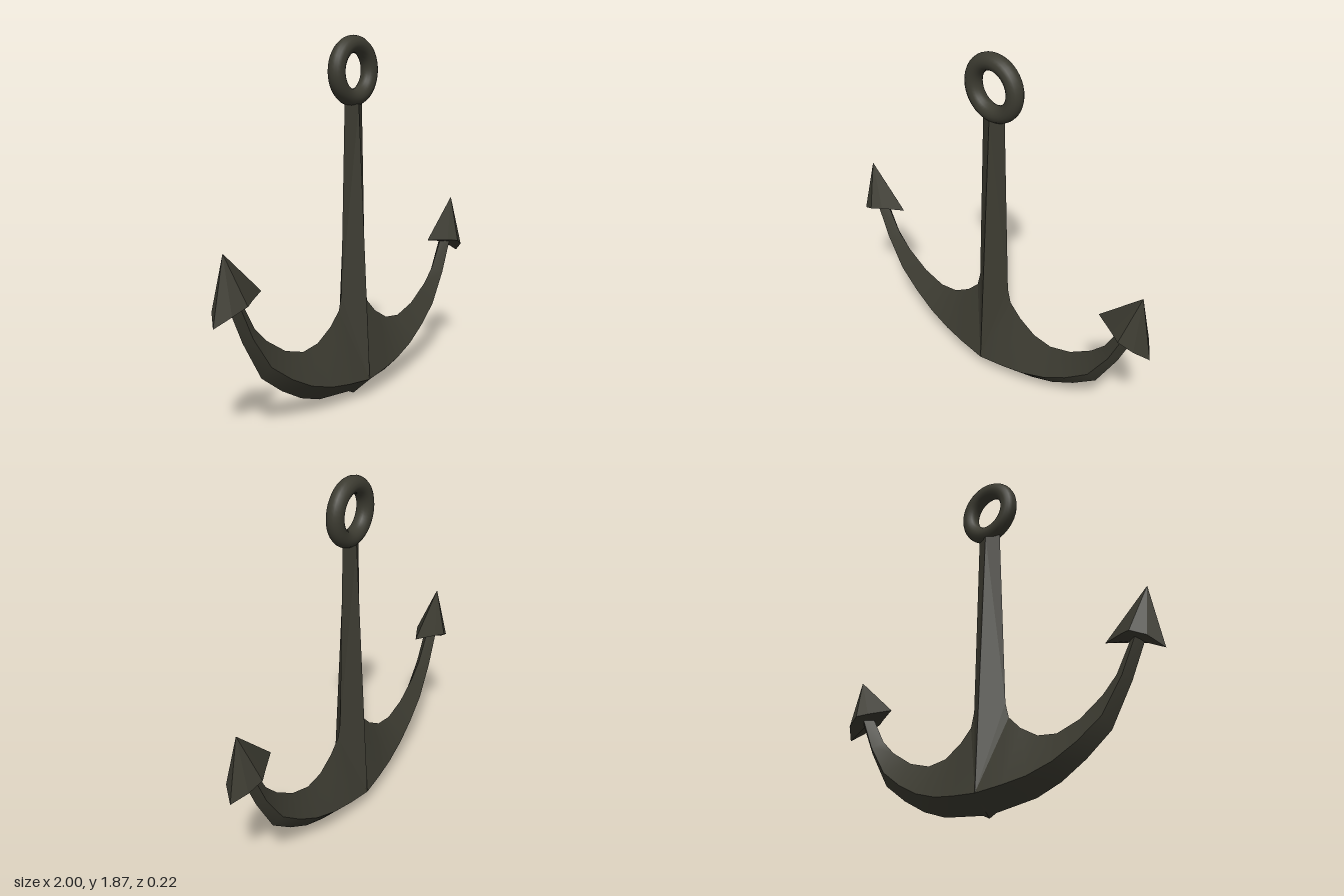
import * as THREE from 'three';

const iron = new THREE.MeshStandardMaterial({ color: 0x3c3b31 });
iron.name = 'darkIron';

// Mesh from points and triangles, mirrored by the signs sx and sz
function facet(name, points, tris, sx, sz, smooth) {
  const flip = sx * sz < 0;
  let geo = new THREE.BufferGeometry();
  geo.setAttribute('position', new THREE.Float32BufferAttribute(
    points.flatMap(([x, y, z = 0]) => [x * sx, y, z * sz]), 3));
  geo.setIndex(tris.flatMap(([a, b, c]) => (flip ? [a, c, b] : [a, b, c])));
  if (!smooth) geo = geo.toNonIndexed();
  geo.computeVertexNormals();
  const mesh = new THREE.Mesh(geo, iron);
  mesh.name = name;
  return mesh;
}

// Strip between an upper and a lower edge, both running outward along +x
function strip(name, upper, lower, sx, sz) {
  const n = upper.length, tris = [];
  for (let i = 0; i < n - 1; i++) {
    tris.push([i, n + i, n + i + 1], [i, n + i + 1, i + 1]);
  }
  return facet(name, [...upper, ...lower], tris, sx, sz, true);
}

// Arm edges: inner curve, raised ridge and outer curve
const inner = [[0.12, 0.48], [0.19, 0.41], [0.29, 0.35], [0.40, 0.335],
  [0.53, 0.375], [0.66, 0.46], [0.74, 0.54], [0.83, 0.70]];
const ridge = [[0, 0.10, 0.11], [0.15, 0.115, 0.098], [0.28, 0.135, 0.085], [0.42, 0.18, 0.072],
  [0.55, 0.25, 0.06], [0.68, 0.345, 0.048], [0.79, 0.51, 0.04], [0.875, 0.70, 0.035]];
const outer = [[0, 0], [0.04, 0.02], [0.28, 0.05], [0.42, 0.10],
  [0.56, 0.18], [0.70, 0.285], [0.82, 0.49], [0.91, 0.69]];

// Quarter of the diamond-section shank, with its flared foot and top cap
const shank = [[0, 1.53, 0.035], [0.07, 1.53], [0.10, 0.56], [0.12, 0.48], [0, 0.10, 0.11], [0, 1.53]];
const shankTris = [[0, 4, 2], [0, 2, 1], [4, 3, 2], [5, 0, 1]];

// Half of the arrow-shaped fluke: tip, base rim from inside to outside, base centre
const fluke = [[0.93, 0.93], [0.69, 0.71], [0.81, 0.70, 0.06], [0.87, 0.69, 0.09],
  [0.945, 0.655, 0.065], [1.0, 0.60], [0.86, 0.675]];
const flukeTris = [];
for (let i = 1; i < 5; i++) flukeTris.push([0, i, i + 1], [6, i + 1, i]);

export function createModel() {
  const anchor = new THREE.Group();
  anchor.name = 'anchor';

  for (const sx of [1, -1]) {
    const side = sx > 0 ? 'left' : 'right';
    const arm = new THREE.Group();
    arm.name = side + 'Arm';
    const tip = new THREE.Group();
    tip.name = side + 'Fluke';
    for (const sz of [1, -1]) {
      anchor.add(facet('shank', shank, shankTris, sx, sz, false));
      arm.add(strip('upperArmFace', inner, ridge, sx, sz));
      arm.add(strip('lowerArmFace', ridge, outer, sx, sz));
      tip.add(facet('flukeHalf', fluke, flukeTris, sx, sz, false));
    }
    anchor.add(arm, tip);
  }

  // Ring at the head of the shank
  const ring = new THREE.Mesh(new THREE.TorusGeometry(0.132, 0.044, 16, 40), iron);
  ring.name = 'ring';
  ring.position.y = 1.693;
  anchor.add(ring);

  return anchor;
}
